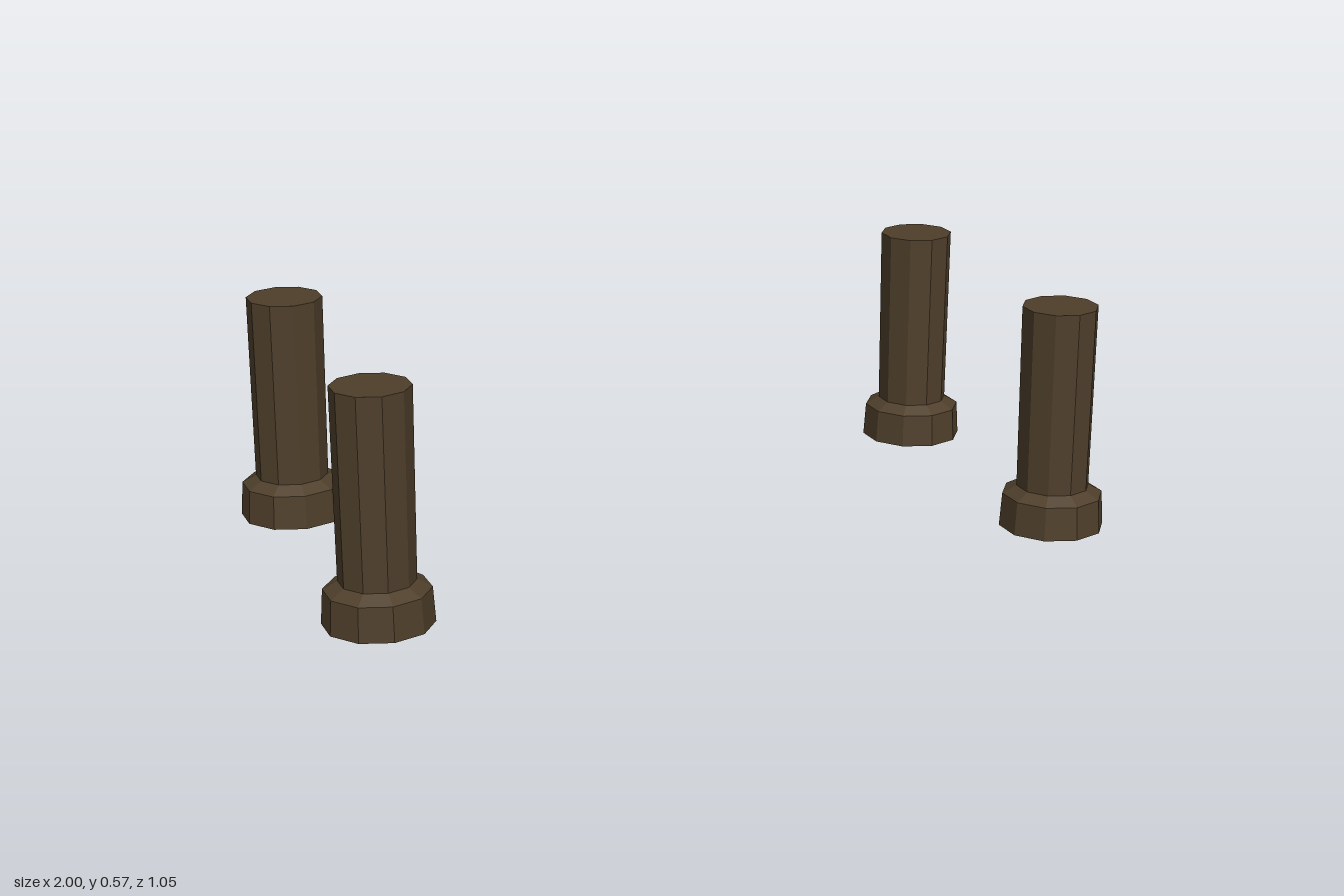
import * as THREE from 'three';

const SIDES = 10;

export function createModel() {
  const group = new THREE.Group();
  group.name = 'legSet';
  const darkWood = new THREE.MeshStandardMaterial({ color: 0x4f3f2b, flatShading: true });
  darkWood.name = 'darkWood';

  // One leg: closed profile of flared foot, bevel and slightly widening shaft
  const profile = [
    [0, 0], [0.1315, 0], [0.126, 0.085], [0.091, 0.105], [0.0945, 0.57], [0, 0.57],
  ].map(([r, y]) => new THREE.Vector2(r, y));
  const legGeometry = new THREE.LatheGeometry(profile, SIDES);

  // Four legs at the corners
  for (const [zName, z] of [['front', 0.393], ['back', -0.393]]) {
    for (const [xName, x] of [['Left', 0.875], ['Right', -0.875]]) {
      const leg = new THREE.Mesh(legGeometry, darkWood);
      leg.name = `${zName}${xName}Leg`;
      leg.position.set(x, 0, z);
      group.add(leg);
    }
  }
  return group;
}
